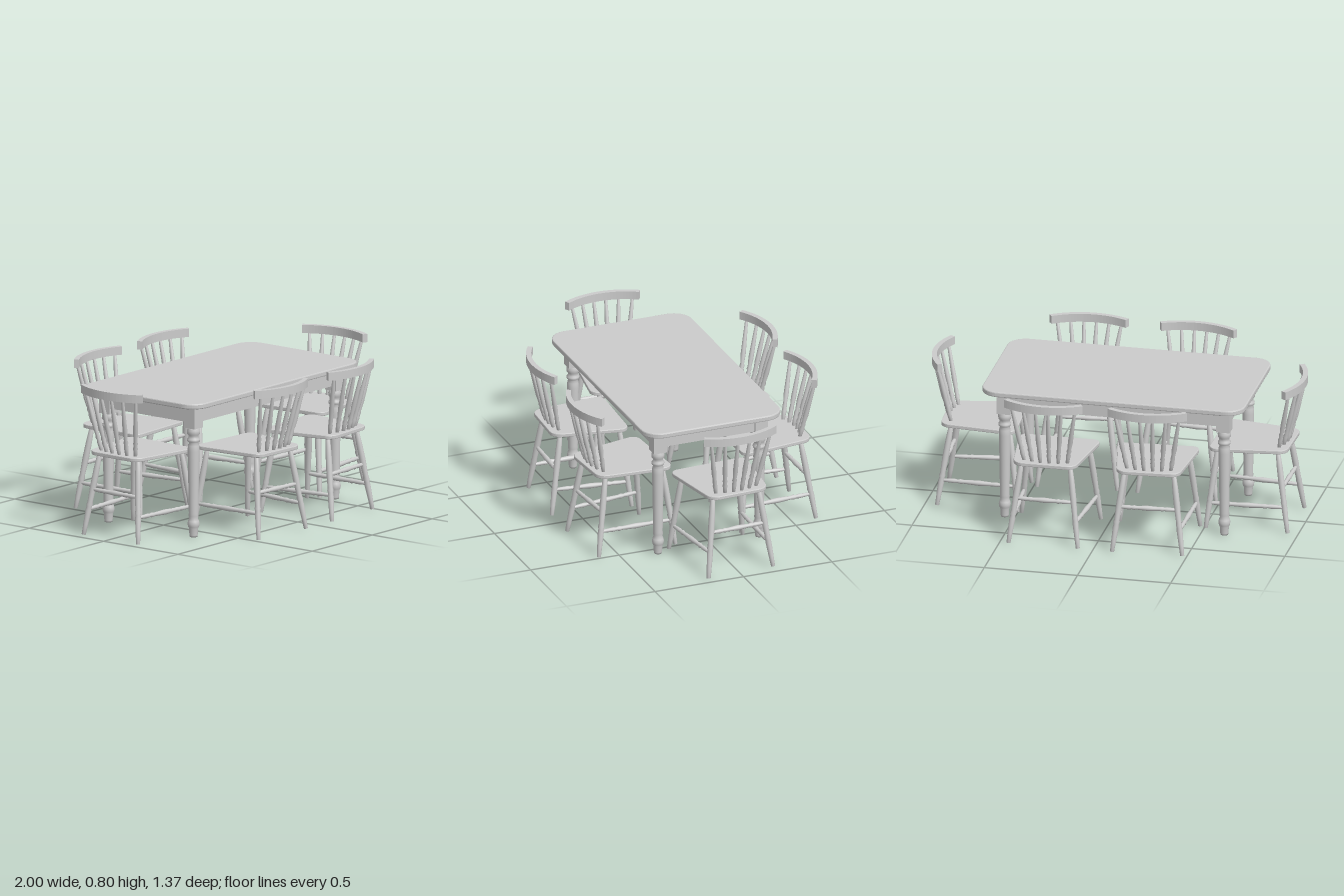
import * as THREE from 'three';

const mat = new THREE.MeshStandardMaterial({ color: 0xcccccc });

function add(parent, geometry, name) {
  const mesh = new THREE.Mesh(geometry, mat);
  mesh.name = name;
  parent.add(mesh);
  return mesh;
}

// Turned rod from a to b; profile is a list of [fraction of length, radius]
function turned(parent, name, a, b, profile, sides = 12) {
  const from = new THREE.Vector3(...a), dir = new THREE.Vector3(...b).sub(from);
  const len = dir.length();
  const pts = profile.map(([t, r]) => new THREE.Vector2(r, t * len));
  pts.unshift(new THREE.Vector2(0, pts[0].y));
  pts.push(new THREE.Vector2(0, pts[pts.length - 1].y));
  const mesh = add(parent, new THREE.LatheGeometry(pts, sides), name);
  mesh.position.copy(from);
  mesh.quaternion.setFromUnitVectors(new THREE.Vector3(0, 1, 0), dir.normalize());
  return mesh;
}

// Polygon with rounded corners, for flat boards
function roundedShape(corners, radius) {
  const pts = corners.map(c => new THREE.Vector2(...c));
  const shape = new THREE.Shape();
  pts.forEach((p, i) => {
    const prev = pts[(i + pts.length - 1) % pts.length], next = pts[(i + 1) % pts.length];
    const s = p.clone().add(prev.clone().sub(p).setLength(radius));
    const e = p.clone().add(next.clone().sub(p).setLength(radius));
    if (i === 0) shape.moveTo(s.x, s.y); else shape.lineTo(s.x, s.y);
    const k = 0.55;
    const c1 = s.clone().lerp(p, k), c2 = e.clone().lerp(p, k);
    shape.bezierCurveTo(c1.x, c1.y, c2.x, c2.y, e.x, e.y);
  });
  shape.closePath();
  return shape;
}

// Horizontal board between two heights; shape y points to the back (-z)
function board(shape, y0, y1, bevel) {
  const geo = new THREE.ExtrudeGeometry(shape, {
    depth: y1 - y0 - 2 * bevel, bevelEnabled: bevel > 0, bevelThickness: bevel,
    bevelSize: bevel, bevelOffset: -bevel, bevelSegments: 2, curveSegments: 12,
  });
  return geo.rotateX(-Math.PI / 2).translate(0, y0 + bevel, 0);
}

const CHAIR_LEG = [[0, 0.011], [0.12, 0.013], [0.3, 0.016], [0.34, 0.014], [0.37, 0.017],
  [0.4, 0.014], [0.6, 0.017], [0.8, 0.016], [1, 0.012]];
const SPINDLE = [[0, 0.009], [0.1, 0.011], [0.16, 0.013], [0.2, 0.01], [0.24, 0.013],
  [0.28, 0.01], [0.42, 0.0135], [0.6, 0.012], [1, 0.008]];
const STRETCHER = [[0, 0.008], [0.18, 0.012], [0.22, 0.009], [0.26, 0.013], [0.3, 0.01],
  [0.4, 0.012], [0.5, 0.014], [0.6, 0.012], [0.7, 0.01], [0.74, 0.013], [0.78, 0.009],
  [0.82, 0.012], [1, 0.008]];

// Chair facing +z, its seat centred on the origin
function makeChair() {
  const chair = new THREE.Group();
  const seat = roundedShape([[-0.222, -0.205], [0.222, -0.205], [0.165, 0.205], [-0.165, 0.205]], 0.05);
  add(chair, board(seat, 0.43, 0.451, 0.004), 'seat');

  // Splayed legs and side stretchers
  const rear = { foot: [0.186, 0, -0.216], top: [0.13, 0.435, -0.15] };
  const front = { foot: [0.213, 0, 0.218], top: [0.16, 0.435, 0.165] };
  const at = (leg, y, s) => {
    const p = new THREE.Vector3(...leg.foot).lerp(new THREE.Vector3(...leg.top), y / 0.435);
    return [s * p.x, p.y, p.z];
  };
  for (const s of [-1, 1]) {
    turned(chair, 'rearLeg', at(rear, 0, s), at(rear, 0.435, s), CHAIR_LEG);
    turned(chair, 'frontLeg', at(front, 0, s), at(front, 0.435, s), CHAIR_LEG);
    turned(chair, 'sideStretcher', at(rear, 0.135, s), at(front, 0.135, s), STRETCHER);
  }
  turned(chair, 'rearStretcher', at(rear, 0.24, -1), at(rear, 0.24, 1), STRETCHER);

  // Curved top rail
  const half = 0.552, mid = Math.PI / 2, centre = -0.13;
  const rail = new THREE.Shape();
  rail.absarc(0, centre, 0.4, mid - half, mid + half, false);
  rail.absarc(0, centre, 0.373, mid + half, mid - half, true);
  rail.closePath();
  add(chair, board(rail, 0.756, 0.8, 0), 'topRail');

  // Fanned back spindles
  for (let i = 0; i < 6; i++) {
    const t = i / 2.5 - 1, x = 0.17 * t;
    const zTop = -(Math.sqrt(0.386 ** 2 - x * x) + centre);
    turned(chair, 'backSpindle', [0.115 * t, 0.445, -0.175 + 0.022 * t * t], [x, 0.765, zTop], SPINDLE);
  }
  return chair;
}

function makeTable() {
  const table = new THREE.Group();
  table.name = 'table';
  const X = 0.705, Z = 0.391, lx = 0.589, lz = 0.286;
  const top = roundedShape([[-X, -Z], [X, -Z], [X, Z], [-X, Z]], 0.1);
  add(table, board(top, 0.706, 0.735, 0.006), 'tableTop');

  // Aprons between the leg blocks
  for (const s of [-1, 1]) {
    add(table, new THREE.BoxGeometry(2 * lx, 0.093, 0.022), 'longApron').position.set(0, 0.661, s * (lz + 0.012));
    add(table, new THREE.BoxGeometry(0.022, 0.093, 2 * lz), 'shortApron').position.set(s * (lx + 0.012), 0.661, 0);
  }

  // Turned legs with square blocks
  const H = 0.59;
  const profile = [[0, 0.02], [0.01, 0.022], [0.045, 0.024], [0.055, 0.029], [0.07, 0.032], [0.085, 0.029],
    [0.1, 0.023], [0.112, 0.027], [0.125, 0.025], [0.3, 0.028], [0.46, 0.031], [0.49, 0.03], [0.505, 0.025],
    [0.512, 0.033], [0.524, 0.034], [0.53, 0.027], [0.545, 0.027], [0.552, 0.034], [0.57, 0.035],
    [0.578, 0.03], [0.59, 0.03]].map(([y, r]) => [y / H, r]);
  for (const sx of [-1, 1]) for (const sz of [-1, 1]) {
    turned(table, 'tableLeg', [sx * lx, 0, sz * lz], [sx * lx, H, sz * lz], profile, 20);
    add(table, new THREE.BoxGeometry(0.072, 0.122, 0.072), 'legBlock').position.set(sx * lx, 0.646, sz * lz);
  }
  table.position.set(-0.035, 0, 0.016);
  return table;
}

export function createModel() {
  const group = new THREE.Group();
  group.name = 'diningSet';
  group.add(makeTable());

  // Chairs, each turned slightly differently: name, x, z, angle
  const P = Math.PI;
  const places = [
    ['frontRightChair', -0.275, 0.41, P - 0.05],
    ['frontLeftChair', 0.285, 0.407, P + 0.075],
    ['backRightChair', -0.275, -0.408, 0.065],
    ['backLeftChair', 0.267, -0.416, 0],
    ['rightEndChair', -0.73, 0.01, P / 2 - 0.02],
    ['leftEndChair', 0.728, 0.003, -P / 2 + 0.05],
  ];
  for (const [name, x, z, angle] of places) {
    const chair = makeChair();
    chair.name = name;
    chair.position.set(x, 0, z);
    chair.rotation.y = angle;
    group.add(chair);
  }
  return group;
}
